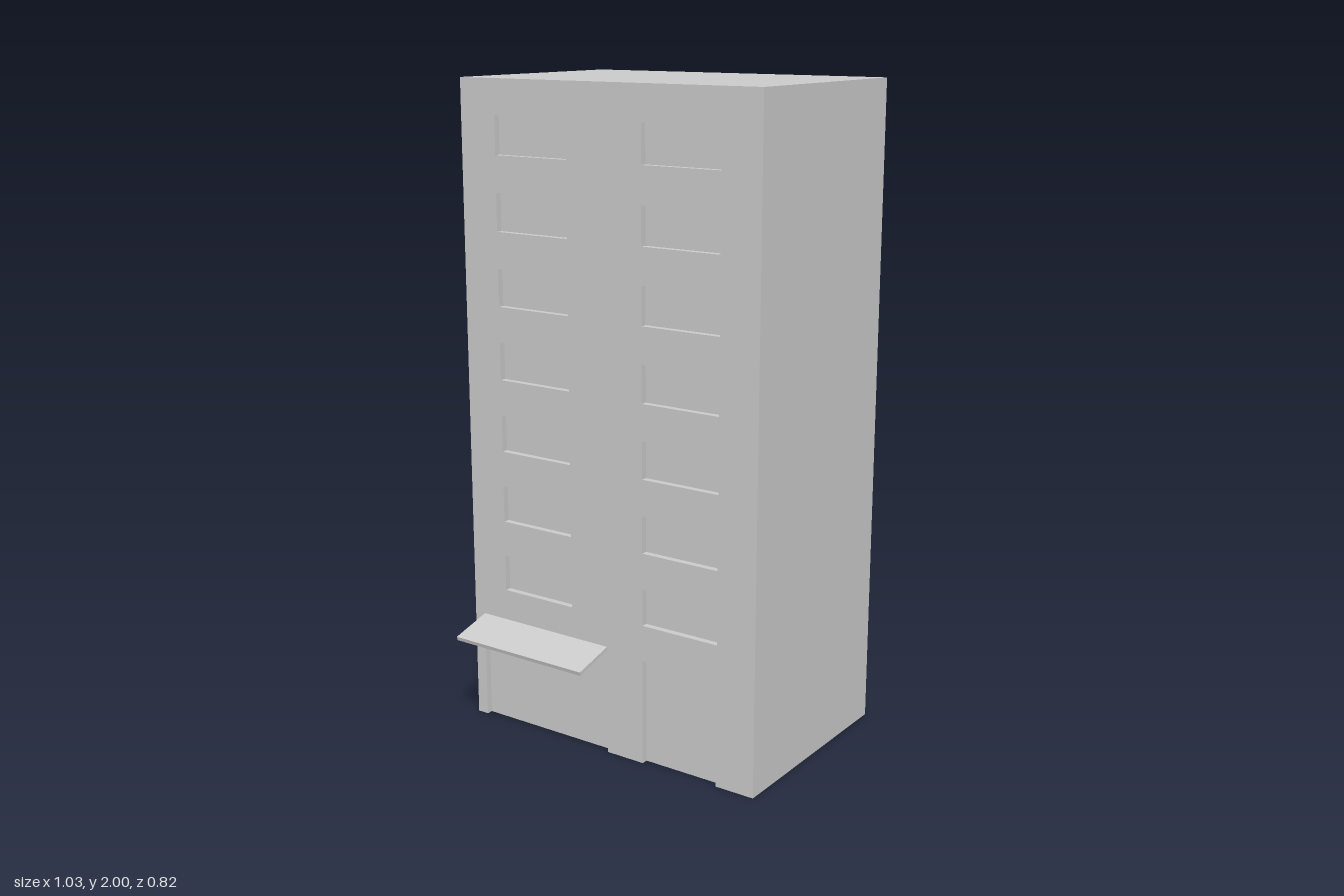
import * as THREE from 'three';

const material = new THREE.MeshStandardMaterial({ color: 0xcccccc, side: THREE.DoubleSide });

const W = 0.517, H = 2, FRONT = 0.276, BACK = -0.41; // building extents
const RECESS = 0.02;

// Box between two corners, leaving out faces (0 +x, 1 -x, 2 +y, 3 -y, 4 +z, 5 -z)
function openBox(name, [x0, y0, z0], [x1, y1, z1], omit = []) {
  const geometry = new THREE.BoxGeometry(x1 - x0, y1 - y0, z1 - z0);
  geometry.translate((x0 + x1) / 2, (y0 + y1) / 2, (z0 + z1) / 2);
  const index = Array.from(geometry.index.array);
  geometry.setIndex(index.filter((_, i) => !omit.includes(Math.floor(i / 6))));
  geometry.clearGroups();
  const mesh = new THREE.Mesh(geometry, material);
  mesh.name = name;
  return mesh;
}

export function createModel() {
  const model = new THREE.Group();
  model.name = 'apartmentBlock';

  // Side walls, back wall and flat roof; open underneath
  model.add(openBox('wallsAndRoof', [-W, 0, BACK], [W, H, FRONT], [3, 4]));

  // Entrances reach the ground, windows sit in two columns of seven
  const garage = { name: 'garageRecess', x0: -0.48, x1: 0, y0: 0, y1: 0.27 };
  const door = { name: 'doorRecess', x0: 0.13, x1: 0.39, y0: 0, y1: 0.33 };
  const windows = [];
  for (let floor = 0; floor < 7; floor++) {
    const y0 = 0.44 + floor * 0.2235;
    for (const x0 of [-0.39, 0.13]) {
      windows.push({ name: 'windowRecess', x0, x1: x0 + 0.26, y0, y1: y0 + 0.114 });
    }
  }

  // Front wall, notched for the entrances and pierced for the windows
  const outline = new THREE.Shape().moveTo(-W, 0);
  for (const { x0, x1, y1 } of [garage, door]) {
    outline.lineTo(x0, 0).lineTo(x0, y1).lineTo(x1, y1).lineTo(x1, 0);
  }
  outline.lineTo(W, 0).lineTo(W, H).lineTo(-W, H).closePath();
  for (const { x0, x1, y0, y1 } of windows) {
    const hole = new THREE.Path();
    hole.moveTo(x0, y0).lineTo(x0, y1).lineTo(x1, y1).lineTo(x1, y0).closePath();
    outline.holes.push(hole);
  }
  const frontWall = new THREE.Mesh(new THREE.ShapeGeometry(outline), material);
  frontWall.name = 'frontWall';
  frontWall.position.z = FRONT;
  model.add(frontWall);

  // Shallow recesses behind every opening
  for (const { name, x0, x1, y0, y1 } of [garage, door, ...windows]) {
    const omit = y0 === 0 ? [3, 4] : [4];
    model.add(openBox(name, [x0, y0, FRONT - RECESS], [x1, y1, FRONT], omit));
  }

  // Thin canopy sloping down over the garage
  const profile = new THREE.Shape([
    [FRONT, 0.343], [FRONT, 0.331], [0.407, 0.296], [0.41, 0.308],
  ].map(([z, y]) => new THREE.Vector2(-z, y)));
  const canopy = new THREE.Mesh(
    new THREE.ExtrudeGeometry(profile, { depth: 0.48, bevelEnabled: false }), material);
  canopy.name = 'canopy';
  canopy.rotation.y = Math.PI / 2;
  canopy.position.x = -0.48;
  model.add(canopy);

  return model;
}
